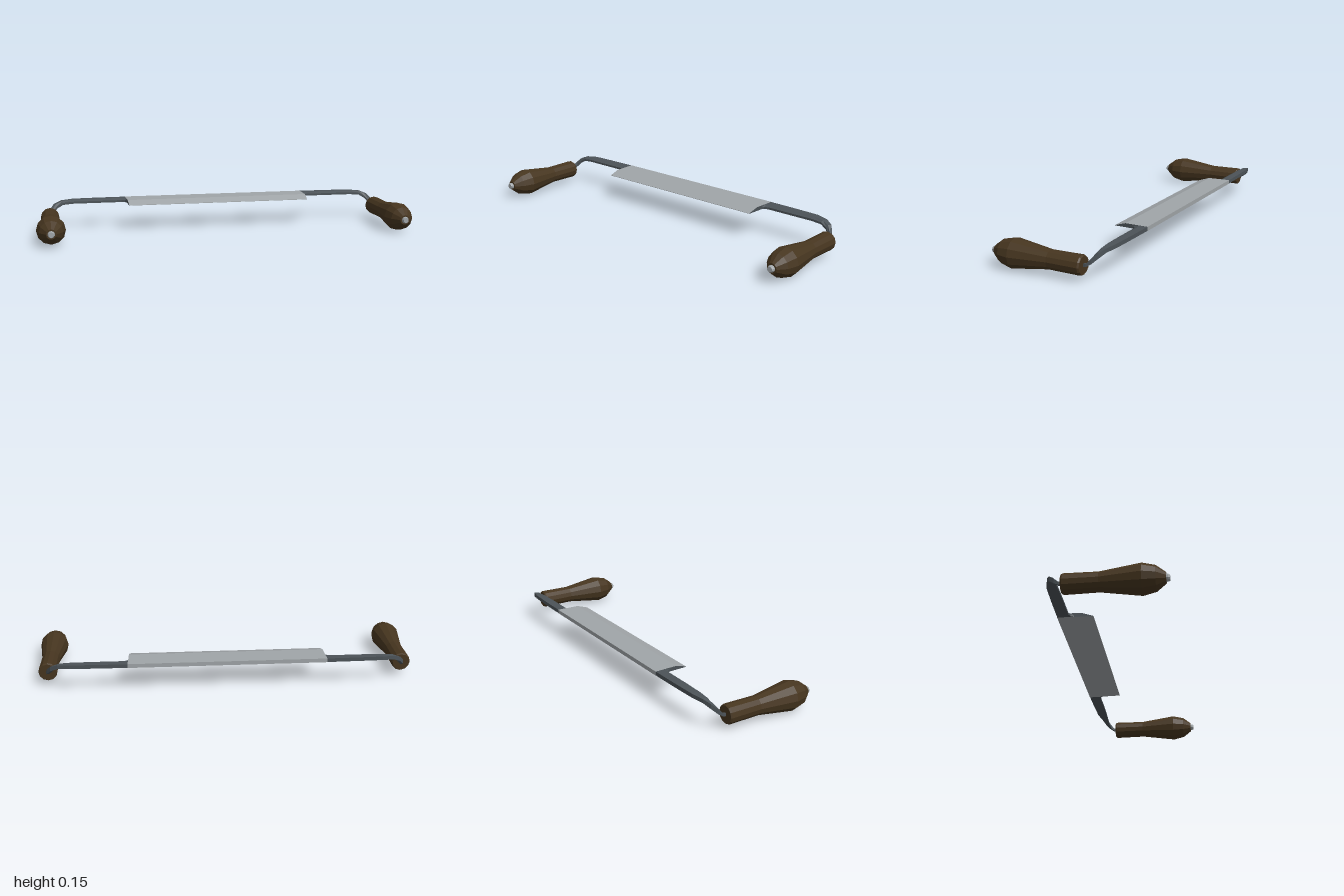
import * as THREE from 'three';

const mat = (name, color) => {
  const m = new THREE.MeshStandardMaterial({ color });
  m.name = name;
  return m;
};

const part = (name, geometry, material) => {
  const m = new THREE.Mesh(geometry, material);
  m.name = name;
  return m;
};

const flat = (g) => {
  const out = g.index ? g.toNonIndexed() : g;
  out.computeVertexNormals();
  return out;
};

// Lathe about the z axis, from [radius, z] pairs with rising z
const turned = (profile, sides) => {
  const g = new THREE.LatheGeometry(profile.map(([r, z]) => new THREE.Vector2(r, z)), sides);
  return flat(g.rotateX(Math.PI / 2));
};

// Bevelled bar: z/y profile drawn out along x, with slightly slanted ends
function bladeGeometry() {
  const shape = new THREE.Shape([
    [-0.297, 0.134], [-0.115, 0.134], [-0.115, 0.136], [-0.175, 0.155], [-0.297, 0.155],
  ].map(([z, y]) => new THREE.Vector2(z, y)));
  const g = new THREE.ExtrudeGeometry(shape, { depth: 1, bevelEnabled: false });
  g.translate(0, 0, -0.5).rotateY(-Math.PI / 2);
  const p = g.attributes.position;
  for (let i = 0; i < p.count; i++) {
    const t = Math.max(0, (p.getZ(i) + 0.235) / 0.12);
    p.setX(i, Math.sign(p.getX(i)) * (0.51 - 0.008 * t));
  }
  return flat(g);
}

// Arm stations: x, y, z, yaw in degrees, half width, half height
const stations = [
  [0.506, 0.1445, -0.254, 0, 0.042, 0.010],
  [0.514, 0.1445, -0.262, 0, 0.034, 0.010],
  [0.535, 0.1445, -0.266, 0, 0.030, 0.010],
  [0.680, 0.1445, -0.265, 0, 0.029, 0.010],
  [0.800, 0.144, -0.264, 4, 0.026, 0.010],
  [0.860, 0.139, -0.257, 18, 0.019, 0.010],
  [0.895, 0.122, -0.246, 40, 0.014, 0.012],
  [0.916, 0.097, -0.226, 65, 0.009, 0.012],
  [0.925, 0.079, -0.206, 85, 0.007, 0.008],
  [0.926, 0.076, -0.180, 90, 0.006, 0.007],
];

function armGeometry(side) {
  const pos = [], idx = [], n = 5;
  for (const [x, y, z, deg, w, h] of stations) {
    const a = THREE.MathUtils.degToRad(deg);
    // Flat bar with a chamfer along the inner top edge
    for (const [u, v] of [[-1, -1], [-1, 1], [0.35, 1], [1, 0.1], [1, -1]]) {
      pos.push(side * (x - Math.sin(a) * u * w), y + v * h, z + Math.cos(a) * u * w);
    }
  }
  for (let i = 0; i < stations.length - 1; i++) {
    for (let j = 0; j < n; j++) {
      const a = i * n + j, b = i * n + (j + 1) % n, c = a + n, d = b + n;
      idx.push(...(side > 0 ? [a, b, d, a, d, c] : [a, d, b, a, c, d]));
    }
  }
  const g = new THREE.BufferGeometry();
  g.setAttribute('position', new THREE.Float32BufferAttribute(pos, 3));
  g.setIndex(idx);
  return flat(g);
}

export function createModel() {
  const steel = mat('bright steel', 0xa0a5a8);
  const iron = mat('dark iron', 0x4c5358);
  const wood = mat('dark wood', 0x46351f);

  const model = new THREE.Group();
  model.name = 'drawknife';
  model.add(part('blade', bladeGeometry(), [iron, steel]));

  const gripGeometry = turned([
    [0, -0.193], [0.044, -0.193], [0.049, -0.185], [0.047, -0.02],
    [0.0745, 0.175], [0.06, 0.237], [0.026, 0.282], [0, 0.282],
  ], 12);
  const capGeometry = turned([
    [0.018, 0.278], [0.018, 0.29], [0.014, 0.299], [0, 0.299],
  ], 10);

  for (const side of [1, -1]) {
    const label = side > 0 ? 'left' : 'right';
    model.add(part(label + 'Arm', armGeometry(side), iron));

    // Turned grip with the riveted end of the tang
    const handle = new THREE.Group();
    handle.name = label + 'Handle';
    handle.position.set(side * 0.926, 0.0755, 0);
    handle.add(part('grip', gripGeometry, wood), part('tangRivet', capGeometry, steel));
    model.add(handle);
  }
  return model;
}
